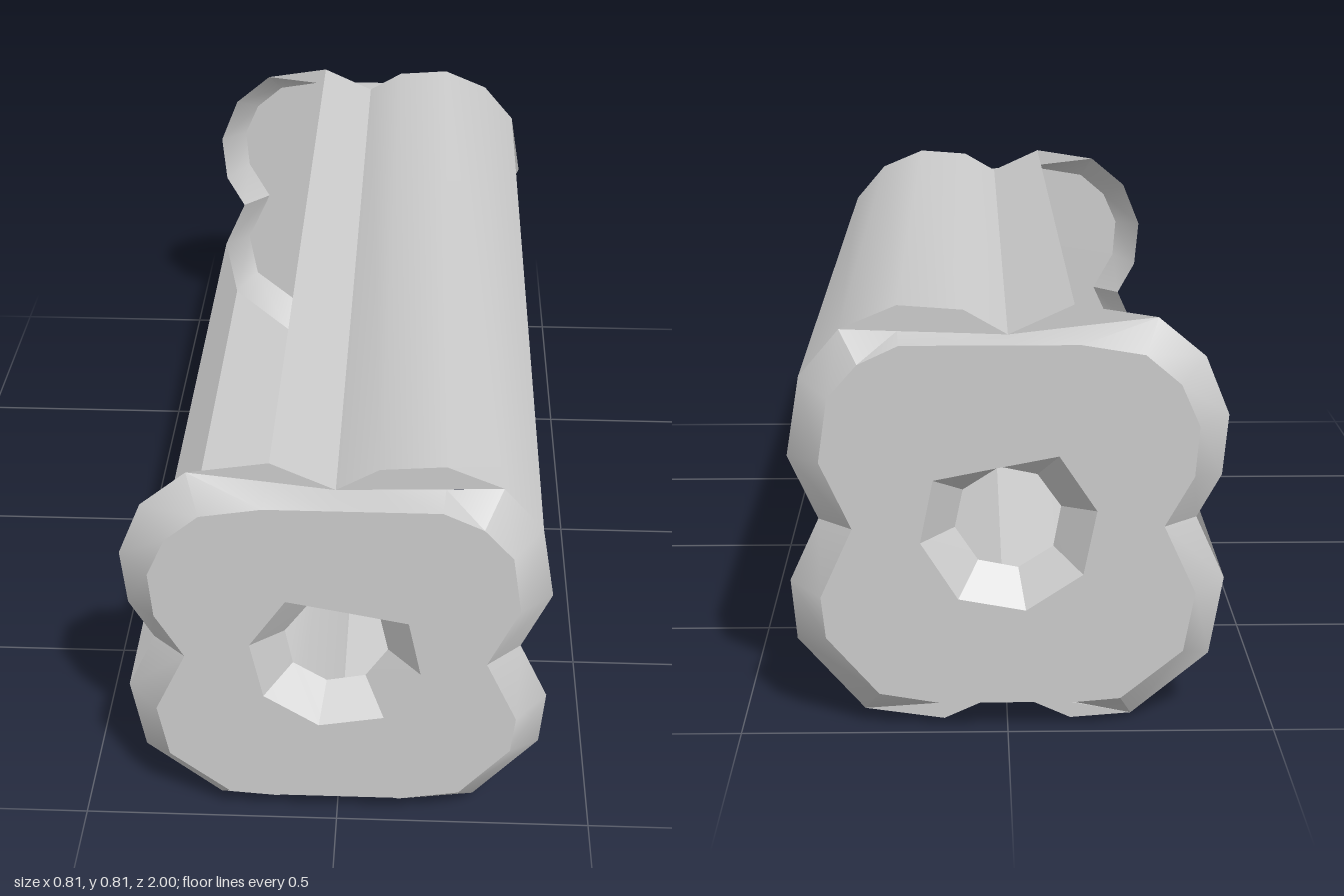
import * as THREE from 'three';
import { toCreasedNormals } from 'three/addons/utils/BufferGeometryUtils.js';

const END = 1, SEAM = 0.94; // outer face of the end caps, and where the long panels meet them

// Cap rim, clockwise from the front: [rim x, rim y, face x, face y]
const RIM = [
  [-0.405, 0.605, -0.345, 0.6], [-0.36, 0.715, -0.31, 0.678], [-0.272, 0.788, -0.245, 0.733],
  [-0.12, 0.771, -0.13, 0.752], [0, 0.757, 0, 0.752], [0.08, 0.76, 0.1, 0.752],
  [0.2, 0.764, 0.195, 0.752], [0.305, 0.768, 0.27, 0.717], [0.38, 0.68, 0.325, 0.655],
  [0.405, 0.53, 0.343, 0.535], [0.35, 0.408, 0.285, 0.408], [0.405, 0.287, 0.345, 0.275],
  [0.395, 0.17, 0.337, 0.195], [0.27, 0.025, 0.24, 0.082], [0.12, 0.041, 0.13, 0.063],
  [0, 0.058, 0, 0.063], [-0.12, 0.036, -0.13, 0.063], [-0.235, 0.012, -0.21, 0.07],
  [-0.38, 0.135, -0.325, 0.165], [-0.405, 0.287, -0.345, 0.28], [-0.35, 0.408, -0.285, 0.41],
  [-0.395, 0.49, -0.338, 0.505],
];
// Hole, clockwise from the front: [wide x, wide y, narrow x, narrow y]
const HOLE = [
  [-0.092, 0.545, -0.055, 0.492], [0.022, 0.523, 0.015, 0.507], [0.137, 0.5, 0.083, 0.463],
  [0.161, 0.38, 0.098, 0.39], [0.092, 0.27, 0.055, 0.325], [-0.033, 0.247, -0.02, 0.31],
  [-0.138, 0.317, -0.085, 0.352], [-0.162, 0.44, -0.099, 0.43],
];
// Flat lobes beside the four notches of the rim
const LOBES = [
  [[-0.272, 0.788], [-0.12, 0.812], [0, 0.757]],
  [[0, 0.757], [0.08, 0.803], [0.2, 0.812], [0.305, 0.768]],
  [[0.27, 0.025], [0.12, 0.003], [0, 0.058]],
  [[0, 0.058], [-0.12, 0.003], [-0.235, 0.012]],
];
// Cross-sections of the long panels
const TOP = [[-0.12, 0.812], [0, 0.757], [0.08, 0.803], [0.2, 0.812], [0.305, 0.768], [0.38, 0.68]];
const BOTTOM = [[0.12, 0.003], [0, 0.058], [-0.12, 0.003], [-0.235, 0.012], [-0.38, 0.135], [-0.405, 0.287]];

const first = (list) => list.map((p) => [p[0], p[1]]);
const second = (list) => list.map((p) => [p[2], p[3]]);
const vectors = (list) => list.map(([x, y]) => new THREE.Vector2(x, y));

// Skin between two outlines with the same number of points
function loft(a, za, b, zb, closed) {
  const n = a.length, pos = [], index = [];
  a.forEach(([x, y]) => pos.push(x, y, za));
  b.forEach(([x, y]) => pos.push(x, y, zb));
  for (let i = 0; i < (closed ? n : n - 1); i++) {
    const j = (i + 1) % n;
    index.push(i, j, n + i, j, n + j, n + i);
  }
  const g = new THREE.BufferGeometry();
  g.setAttribute('position', new THREE.Float32BufferAttribute(pos, 3));
  g.setIndex(index);
  return g;
}

// Flat plate, optionally with a hole
function plate(outline, z, hole) {
  const shape = new THREE.Shape(vectors(outline));
  if (hole) shape.holes.push(new THREE.Path(vectors(hole)));
  return new THREE.ShapeGeometry(shape).translate(0, 0, z);
}

// Mirror front to back, keeping the faces turned outwards
function mirrorZ(g) {
  g.scale(1, 1, -1);
  g.setIndex(Array.from(g.index.array).reverse());
  return g;
}

export function createModel() {
  const model = new THREE.Group();
  model.name = 'openFrame';
  const grey = new THREE.MeshStandardMaterial({ color: 0xcccccc, side: THREE.DoubleSide });
  grey.name = 'lightGrey';

  const add = (parent, name, g) => {
    g.computeVertexNormals();
    const mesh = new THREE.Mesh(toCreasedNormals(g, Math.PI / 6), grey);
    mesh.name = name;
    parent.add(mesh);
  };

  // Long panels
  add(model, 'topPanel', loft(TOP, SEAM, TOP, -SEAM, false));
  add(model, 'bottomPanel', loft(BOTTOM, SEAM, BOTTOM, -SEAM, false));

  // Hollow end caps
  for (const name of ['frontCap', 'backCap']) {
    const cap = new THREE.Group();
    cap.name = name;
    model.add(cap);
    const put = (part, g) => add(cap, part, name === 'backCap' ? mirrorZ(g) : g);
    const hole = [...HOLE].reverse();
    put('capFace', plate(second(RIM), END, first(HOLE)));
    put('capBevel', loft(second(RIM), END, first(RIM), SEAM, true));
    put('holeFunnel', loft(first(hole), END, second(hole), SEAM, true));
    LOBES.forEach((lobe) => put('capLobe', plate(lobe, SEAM)));
  }
  return model;
}
